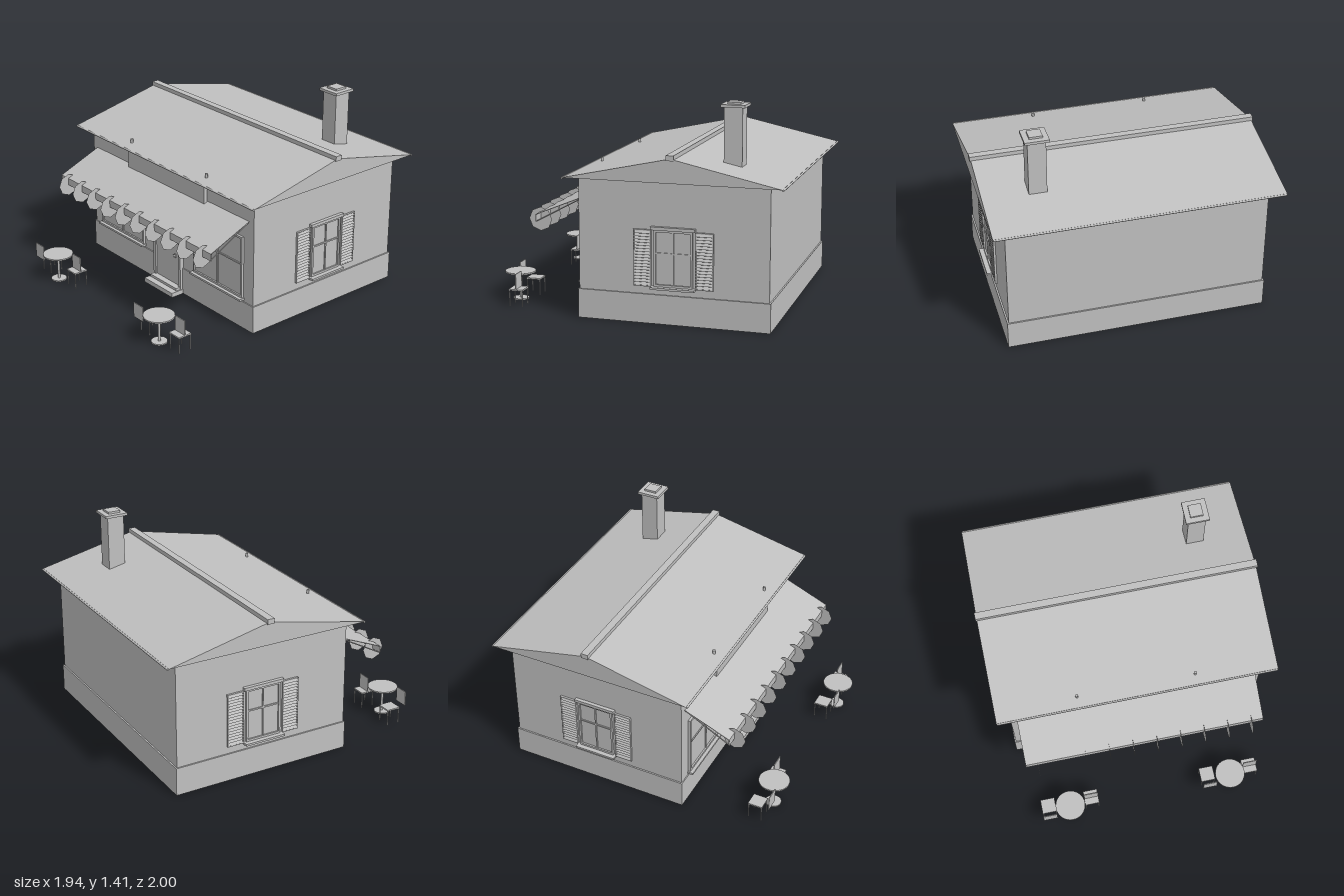
import * as THREE from 'three';

export function createModel() {
  const model = new THREE.Group();
  model.name = 'cafe';
  const plaster = new THREE.MeshStandardMaterial({ color: 0xc0c0c0, side: THREE.DoubleSide });
  plaster.name = 'plain grey';

  const add = (parent, name, geometry, x = 0, y = 0, z = 0) => {
    const mesh = new THREE.Mesh(geometry, plaster);
    mesh.name = name;
    mesh.position.set(x, y, z);
    parent.add(mesh);
    return mesh;
  };
  // Box given by its limits on each axis
  const box = (parent, name, x0, x1, y0, y1, z0, z1) =>
    add(parent, name, new THREE.BoxGeometry(x1 - x0, y1 - y0, z1 - z0),
      (x0 + x1) / 2, (y0 + y1) / 2, (z0 + z1) / 2);
  const rod = (parent, name, a, b, r, sides = 8) => {
    const from = new THREE.Vector3(...a), to = new THREE.Vector3(...b);
    const dir = to.clone().sub(from);
    const mesh = add(parent, name, new THREE.CylinderGeometry(r, r, dir.length(), sides));
    mesh.position.copy(from).add(to).multiplyScalar(0.5);
    mesh.quaternion.setFromUnitVectors(new THREE.Vector3(0, 1, 0), dir.normalize());
    return mesh;
  };
  const group = (name, x = 0, y = 0, z = 0) => {
    const g = new THREE.Group();
    g.name = name;
    g.position.set(x, y, z);
    model.add(g);
    return g;
  };

  // Walls and plinth
  box(model, 'walls', -0.87, 0.87, 0.19, 0.935, -0.9, 0.355);
  box(model, 'plinth', -0.88, 0.88, 0, 0.192, -0.91, 0.362);

  // Gabled roof, a solid prism with a flat soffit
  const gable = new THREE.Shape([
    new THREE.Vector2(-0.435, 0.932), new THREE.Vector2(0.99, 0.932), new THREE.Vector2(0.28, 1.087)]);
  const roof = new THREE.ExtrudeGeometry(gable, { depth: 1.92, bevelEnabled: false });
  roof.rotateY(Math.PI / 2).translate(-0.96, 0, 0);
  add(model, 'roof', roof);
  box(model, 'ridgeCap', -0.968, 0.968, 1.075, 1.109, -0.305, -0.255);
  for (const z of [0.437, -0.992])
    rod(model, 'gutter', [-0.955, 0.928, z], [0.955, 0.928, z], 0.007);

  // Chimney
  const chimney = group('chimney', 0.6, 0, -0.605);
  box(chimney, 'stack', -0.06, 0.06, 1.0, 1.38, -0.06, 0.06);
  box(chimney, 'cap', -0.08, 0.08, 1.38, 1.398, -0.08, 0.08);
  box(chimney, 'flue', -0.044, 0.044, 1.398, 1.412, -0.044, 0.044);

  // Door with frame, knob and steps
  const door = group('door');
  box(door, 'doorPanel', -0.126, 0.126, 0.03, 0.527, 0.35, 0.37);
  for (const s of [-1, 1])
    box(door, 'doorJamb', s * 0.138 - 0.012, s * 0.138 + 0.012, 0.03, 0.55, 0.35, 0.382);
  box(door, 'doorHead', -0.126, 0.126, 0.527, 0.55, 0.35, 0.382);
  box(door, 'doorPlate', 0.079, 0.092, 0.253, 0.28, 0.37, 0.376);
  add(door, 'doorKnob', new THREE.SphereGeometry(0.009, 10, 8), 0.086, 0.27, 0.384);
  box(door, 'lowerStep', -0.155, 0.155, 0, 0.032, 0.355, 0.46);
  box(door, 'upperStep', -0.145, 0.145, 0.032, 0.05, 0.355, 0.415);

  // Paned window facing +z, standing on y0 in its group
  const paneWindow = (g, w, y0, y1, yBar, sillW, sillDepth) => {
    const t = 0.014, h = w / 2;
    box(g, 'pane', -h, h, y0, y1, -0.005, 0.004);
    for (const s of [-1, 1])
      box(g, 'windowStile', s * (h - t / 2) - t / 2, s * (h - t / 2) + t / 2, y0, y1, -0.005, 0.015);
    for (const y of [y0, y1 - t])
      box(g, 'windowRail', -h, h, y, y + t, -0.005, 0.015);
    box(g, 'mullion', -0.005, 0.005, y0, y1, -0.005, 0.011);
    box(g, 'transom', -h, h, yBar - 0.005, yBar + 0.005, -0.005, 0.011);
    box(g, 'sill', -sillW / 2, sillW / 2, y0 - 0.014, y0, -0.005, sillDepth);
  };

  // Shop windows
  for (const s of [-1, 1])
    paneWindow(group('shopWindow', s * 0.525, 0, 0.357), 0.5, 0.22, 0.655, 0.46, 0.52, 0.038);

  // Side windows with louvred shutters
  for (const s of [-1, 1]) {
    const g = group('sideWindow', s * 0.87, 0, -0.277);
    g.rotation.y = s * Math.PI / 2;
    paneWindow(g, 0.255, 0.247, 0.615, 0.463, 0.29, 0.046);
    box(g, 'lintel', -0.146, 0.146, 0.615, 0.636, -0.005, 0.024);
    for (const side of [-1, 1]) {
      const c = side * 0.204, w = 0.059;
      for (const e of [-1, 1])
        box(g, 'shutterStile', c + e * 0.055 - 0.004, c + e * 0.055 + 0.004, 0.243, 0.613, 0, 0.014);
      for (const y of [0.243, 0.605])
        box(g, 'shutterRail', c - w, c + w, y, y + 0.008, 0, 0.014);
      for (let i = 0; i < 18; i++) {
        const y = 0.26 + i * 0.0198;
        const slat = box(g, 'louvre', c - 0.051, c + 0.051, y - 0.0105, y + 0.0105, 0.006, 0.01);
        slat.rotation.x = -0.55;
      }
    }
  }

  // Sign board hung below the eave
  const sign = group('signBoard');
  box(sign, 'board', -0.413, 0.413, 0.765, 0.915, 0.36, 0.386);
  for (const s of [-1, 1])
    rod(sign, 'signHanger', [s * 0.403, 0.88, 0.359], [s * 0.403, 0.975, 0.359], 0.01);

  // Sloping awning with valance, struts and a row of round scallops
  const awning = group('awning');
  const canopy = add(awning, 'canopy', new THREE.BoxGeometry(1.65, 0.004, Math.hypot(0.315, 0.13)),
    0, 0.715, 0.5135);
  canopy.rotation.x = Math.atan2(0.13, 0.315);
  box(awning, 'valance', -0.825, 0.825, 0.602, 0.652, 0.668, 0.672);
  for (const s of [-1, 1])
    rod(awning, 'strut', [s * 0.818, 0.772, 0.36], [s * 0.818, 0.604, 0.67], 0.004);
  for (let i = 0; i < 10; i++)
    add(awning, 'scallop', new THREE.CircleGeometry(0.08, 8).rotateY(Math.PI / 2),
      -0.7425 + i * 0.165, 0.604, 0.67);

  // Two pavement tables, each with a pair of chairs
  for (const cx of [-0.578, 0.573]) {
    const set = group('tableSet', cx, 0, 0.893);
    add(set, 'tableTop', new THREE.CylinderGeometry(0.104, 0.104, 0.01, 32), 0, 0.192, 0);
    add(set, 'tablePost', new THREE.CylinderGeometry(0.009, 0.009, 0.19, 12), 0, 0.095, 0);
    add(set, 'tableFoot', new THREE.CylinderGeometry(0.054, 0.054, 0.009, 24), 0, 0.0045, 0);
    for (const [x, backZ] of [[-0.152, 0.049], [0.156, -0.048]]) {
      box(set, 'chairSeat', x - 0.05, x + 0.05, 0.108, 0.118, -0.098, 0.002);
      box(set, 'chairBack', x - 0.049, x + 0.049, 0.118, 0.222, backZ - 0.003, backZ + 0.003);
      for (const lx of [-0.045, 0.045])
        for (const lz of [-0.093, -0.003])
          rod(set, 'chairLeg', [x + lx, 0, lz], [x + lx, 0.108, lz], 0.004);
    }
  }
  return model;
}
